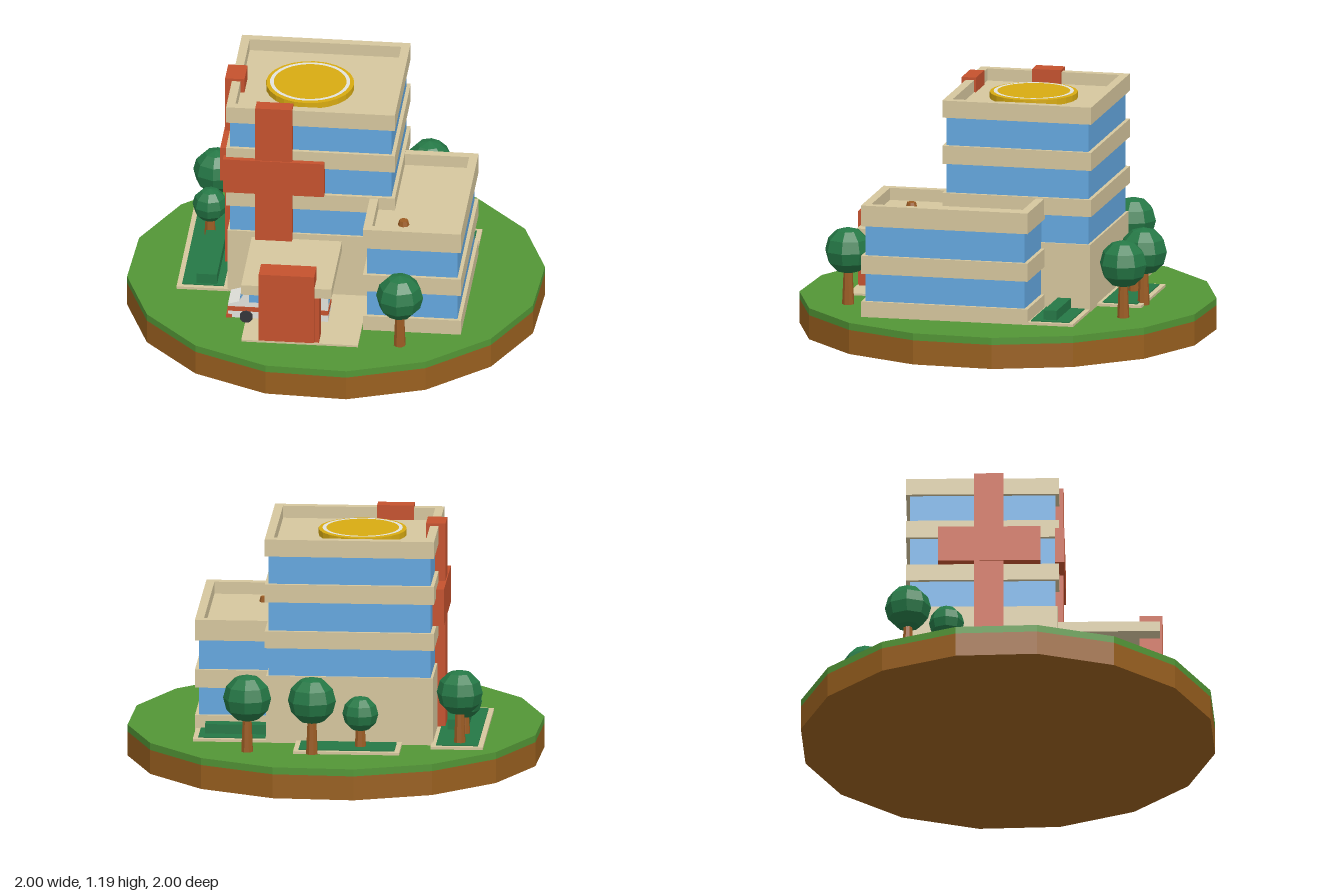
import * as THREE from 'three';

const mat = (name, color) => {
  const m = new THREE.MeshStandardMaterial({ color });
  m.name = name;
  return m;
};

export function createModel() {
  const earth = mat('earth', 0x99601f);
  const grass = mat('grass', 0x539636);
  const wall = mat('wall', 0xd6c79e);
  const glass = mat('glass', 0x64a8e0);
  const red = mat('red', 0xc5522e);
  const gold = mat('gold', 0xd8ab12);
  const white = mat('white', 0xe2e2dc);
  const leaf = mat('leaf', 0x257846);
  const bark = mat('bark', 0x9c5c24);
  const rubber = mat('rubber', 0x35353a);

  const model = new THREE.Group();
  // Everything built on the plot shares one turned frame
  const site = new THREE.Group();
  site.name = 'site';
  site.rotation.y = THREE.MathUtils.degToRad(25);
  model.add(site);

  const flat = (geo) => {
    const g = geo.index ? geo.toNonIndexed() : geo;
    g.computeVertexNormals();
    return g;
  };
  const add = (parent, name, geo, material, x = 0, y = 0, z = 0) => {
    const m = new THREE.Mesh(geo, material);
    m.name = name;
    m.position.set(x, y, z);
    parent.add(m);
    return m;
  };
  // Box given by its limits
  const box = (parent, name, material, x0, x1, y0, y1, z0, z1) =>
    add(parent, name, new THREE.BoxGeometry(x1 - x0, y1 - y0, z1 - z0), material,
      (x0 + x1) / 2, (y0 + y1) / 2, (z0 + z1) / 2);
  // Hollow rectangular frame lying flat
  const frame = (parent, name, material, x0, x1, y0, y1, z0, z1, t) => {
    const rect = (C, d) => {
      const s = new C();
      s.moveTo(x0 + d, -z1 + d);
      s.lineTo(x1 - d, -z1 + d);
      s.lineTo(x1 - d, -z0 - d);
      s.lineTo(x0 + d, -z0 - d);
      s.closePath();
      return s;
    };
    const shape = rect(THREE.Shape, 0);
    shape.holes.push(rect(THREE.Path, t));
    const geo = new THREE.ExtrudeGeometry(shape, { depth: y1 - y0, bevelEnabled: false });
    geo.rotateX(-Math.PI / 2);
    add(parent, name, geo, material, 0, y0, 0);
  };

  // Island
  const disc = (name, material, y0, y1) => add(model, name,
    flat(new THREE.CylinderGeometry(1.0196, 1.0196, y1 - y0, 16).rotateY(Math.PI / 16)),
    material, 0, (y0 + y1) / 2, 0);
  disc('earthBase', earth, 0, 0.12);
  disc('lawn', grass, 0.12, 0.155);

  // Storeyed block: glass core, projecting bands, parapet with sunken roof
  const block = (name, [x0, x1, z0, z1], glassBase, bands, parapet, roofY) => {
    const g = new THREE.Group();
    g.name = name;
    site.add(g);
    const i = 0.018;
    box(g, 'windows', glass, x0 + i, x1 - i, glassBase, parapet[0] + 0.01, z0 + i, z1 - i);
    bands.forEach(([y0, y1]) => box(g, 'floorBand', wall, x0, x1, y0, y1, z0, z1));
    box(g, 'roof', wall, x0 + 0.01, x1 - 0.01, parapet[0], roofY, z0 + 0.01, z1 - 0.01);
    frame(g, 'parapet', wall, x0, x1, parapet[0], parapet[1], z0, z1, 0.042);
    return g;
  };
  const tower = block('tower', [-0.512, 0.315, -0.49, 0.255], 0.48,
    [[0.63, 0.715], [0.86, 0.95]], [1.09, 1.175], 1.115);
  box(tower, 'groundFloor', wall, -0.506, 0.309, 0.15, 0.49, -0.484, 0.249);
  block('annex', [0.192, 0.672, -0.255, 0.578], 0.16,
    [[0.15, 0.232], [0.37, 0.46]], [0.607, 0.71], 0.65);
  add(site, 'roofVent', flat(new THREE.CylinderGeometry(0.022, 0.03, 0.03, 8)), bark, 0.373, 0.66, 0.395);

  // Landing pad
  add(tower, 'landingPad', flat(new THREE.CylinderGeometry(0.215, 0.215, 0.035, 24)), gold, -0.137, 1.128, -0.097);
  add(tower, 'padRing', new THREE.RingGeometry(0.178, 0.196, 32).rotateX(-Math.PI / 2), white, -0.137, 1.149, -0.097);

  // Crosses on the front and on the side
  box(site, 'frontCrossPost', red, -0.367, -0.187, 0.44, 1.188, 0.205, 0.276);
  box(site, 'frontCrossArms', red, -0.525, -0.03, 0.718, 0.9, 0.235, 0.282);
  box(site, 'sideCrossPost', red, -0.545, -0.45, 0.17, 1.188, -0.158, -0.015);
  box(site, 'sideCrossArms', red, -0.55, -0.49, 0.718, 0.9, -0.335, 0.165);

  // Entrance: paving, canopy and red pier
  box(site, 'paving', wall, -0.385, 0.186, 0.15, 0.165, 0.24, 0.758);
  box(site, 'canopy', wall, -0.387, 0.055, 0.408, 0.46, 0.24, 0.745);
  box(site, 'pier', red, -0.3, -0.028, 0.16, 0.53, 0.645, 0.757);
  box(site, 'pierFoot', red, -0.29, -0.005, 0.16, 0.408, 0.655, 0.75);

  // Planting beds with kerbs and hedges
  const bed = (x0, x1, z0, z1) => {
    box(site, 'kerb', wall, x0, x1, 0.15, 0.168, z0, z1);
    box(site, 'bed', leaf, x0 + 0.025, x1 - 0.025, 0.16, 0.173, z0 + 0.025, z1 - 0.025);
  };
  bed(-0.755, -0.5, -0.568, 0.255);
  bed(-0.356, 0.162, -0.705, -0.48);
  bed(0.29, 0.667, -0.482, -0.24);
  box(site, 'sideHedge', leaf, -0.66, -0.56, 0.16, 0.225, -0.23, 0.22);
  box(site, 'backHedge', leaf, 0.31, 0.614, 0.16, 0.22, -0.388, -0.322);

  // Ambulance, nose toward -x
  const van = new THREE.Group();
  van.name = 'ambulance';
  site.add(van);
  const side = new THREE.Shape([
    [-0.47, 0.185], [0.02, 0.185], [0.02, 0.345], [-0.375, 0.345],
    [-0.415, 0.275], [-0.47, 0.258],
  ].map(([x, y]) => new THREE.Vector2(x, y)));
  add(van, 'body', new THREE.ExtrudeGeometry(side, { depth: 0.145, bevelEnabled: false }), white, 0, 0, 0.425);
  const windscreen = box(van, 'windscreen', glass, -0.003, 0.003, -0.03, 0.03, -0.06, 0.06);
  windscreen.position.set(-0.396, 0.31, 0.4975);
  windscreen.rotation.z = -Math.atan2(0.04, 0.07);
  box(van, 'stripe', red, -0.472, 0.023, 0.222, 0.246, 0.422, 0.573);
  box(van, 'bumper', red, -0.478, -0.45, 0.185, 0.203, 0.42, 0.575);
  box(van, 'lightBar', red, -0.35, -0.3, 0.345, 0.372, 0.45, 0.545);
  box(van, 'rearWindow', glass, 0.018, 0.023, 0.275, 0.325, 0.45, 0.545);
  [[0.4225, 'right'], [0.5725, 'left']].forEach(([z]) => {
    box(van, 'cabWindow', glass, -0.365, -0.285, 0.275, 0.33, z - 0.004, z + 0.004);
    box(van, 'sideWindow', glass, -0.25, -0.13, 0.275, 0.33, z - 0.004, z + 0.004);
    [-0.38, -0.08].forEach((x) => add(van, 'wheel',
      flat(new THREE.CylinderGeometry(0.032, 0.032, 0.02, 10).rotateX(Math.PI / 2)), rubber, x, 0.195, z));
  });

  // Trees: x, z, crown radius, crown height
  [
    [-0.23, -0.66, 0.118, 0.422], [0.07, -0.77, 0.118, 0.422], [-0.395, -0.47, 0.088, 0.335],
    [-0.78, -0.165, 0.113, 0.422], [-0.71, 0.01, 0.086, 0.335], [0.65, 0.48, 0.116, 0.422],
  ].forEach(([x, z, r, y]) => {
    const tree = new THREE.Group();
    tree.name = 'tree';
    tree.position.set(x, 0, z);
    model.add(tree);
    add(tree, 'trunk', flat(new THREE.CylinderGeometry(0.018, 0.03, y - 0.15, 8)), bark, 0, (y + 0.15) / 2, 0);
    add(tree, 'crown', flat(new THREE.SphereGeometry(r, 8, 6).rotateY(Math.PI / 8)), leaf, 0, y, 0);
  });

  return model;
}
